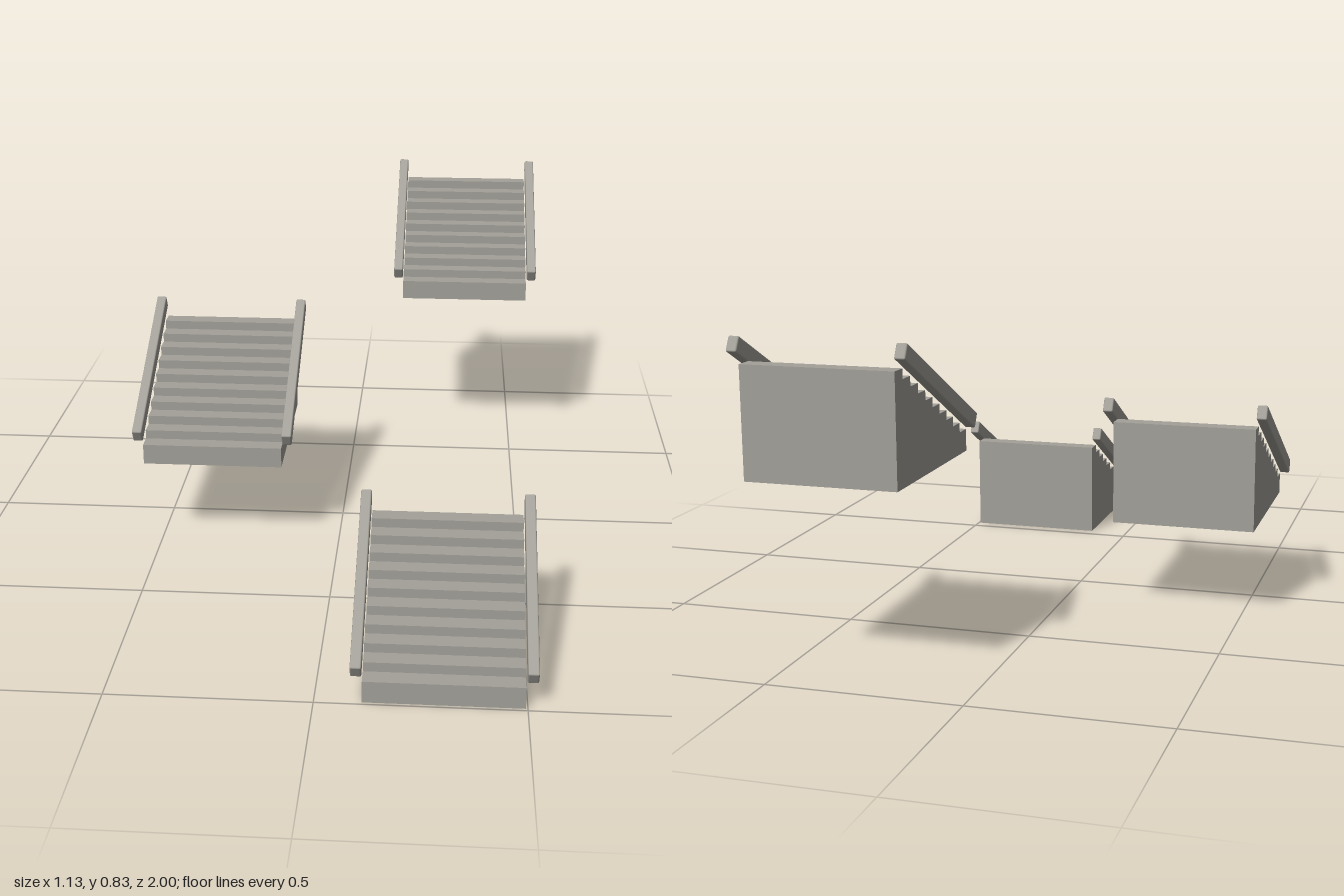
import * as THREE from 'three';
import { RoundedBoxGeometry } from 'three/addons/geometries/RoundedBoxGeometry.js';

const STEPS = 10, WIDTH = 0.382, TREAD = 0.0456, RISE = 0.0244, FIRST = 0.056;
const DEPTH = STEPS * TREAD;

export function createModel() {
  const stone = new THREE.MeshStandardMaterial({ color: 0xa3a199 });
  stone.name = 'grey stone';

  // Bevelled bar shared by all handrails
  const railGeometry = new RoundedBoxGeometry(0.027, 0.0395, 0.515, 2, 0.004);

  function createFlight(name) {
    const flight = new THREE.Group();
    flight.name = name;

    // Solid steps, each reaching down to the base
    for (let i = 0; i < STEPS; i++) {
      const height = FIRST + i * RISE;
      const step = new THREE.Mesh(new THREE.BoxGeometry(WIDTH, height, TREAD), stone);
      step.name = `step${i + 1}`;
      step.position.set(0, height / 2, DEPTH / 2 - (i + 0.5) * TREAD);
      flight.add(step);
    }

    // Sloping handrails just outside the steps
    for (const side of [-1, 1]) {
      const rail = new THREE.Mesh(railGeometry, stone);
      rail.name = side > 0 ? 'leftRail' : 'rightRail';
      rail.position.set(side * 0.206, 0.201, 0);
      rail.rotation.x = Math.atan2(RISE, TREAD);
      flight.add(rail);
    }
    return flight;
  }

  // Three flights climbing toward the back, staggered sideways
  const model = new THREE.Group();
  model.name = 'stairFlights';
  const places = [
    ['lowerFlight', 0.304, 0, 0.764],
    ['middleFlight', -0.345, 0.246, 0],
    ['upperFlight', 0.342, 0.491, -0.764],
  ];
  for (const [name, x, y, z] of places) {
    const flight = createFlight(name);
    flight.position.set(x, y, z);
    model.add(flight);
  }
  return model;
}
